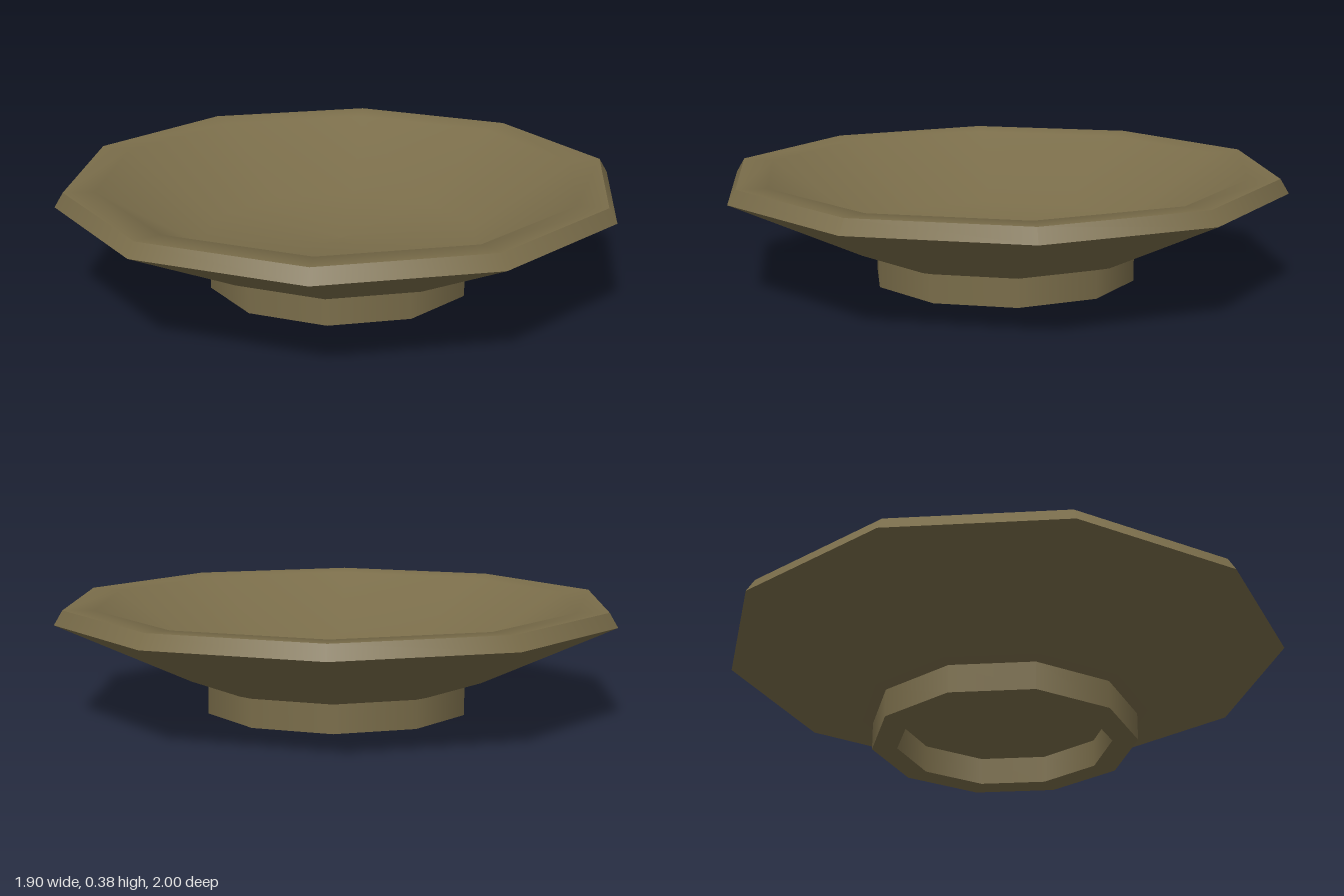
import * as THREE from 'three';

const SIDES = 10;

export function createModel() {
  const model = new THREE.Group();
  model.name = 'footedDish';
  const material = new THREE.MeshStandardMaterial({ color: 0x7a6d4a });

  // Each section is smooth within itself; the seams between sections stay sharp.
  function addPart(name, sections) {
    const part = new THREE.Group();
    part.name = name;
    for (const [label, profile] of Object.entries(sections)) {
      const points = profile.map(([r, y]) => new THREE.Vector2(r, y));
      const mesh = new THREE.Mesh(new THREE.LatheGeometry(points, SIDES), material);
      mesh.name = label;
      part.add(mesh);
    }
    model.add(part);
  }

  // Hollow foot ring, running from the recess out to its outer wall
  addPart('foot', {
    footRecess: [[0, 0.1], [0.38, 0.1]],
    footInnerWall: [[0.38, 0.1], [0.38, 0]],
    footBase: [[0.38, 0], [0.47, 0]],
    footOuterWall: [[0.47, 0], [0.47, 0.1]],
  });

  // Flared bowl with a bevelled rim and a shallow hollow
  addPart('bowl', {
    bowlUnderside: [[0.47, 0.1], [0.53, 0.117], [1, 0.335]],
    bowlRim: [[1, 0.335], [0.97, 0.385]],
    bowlInside: [[0.97, 0.385], [0.86, 0.38], [0.5, 0.165], [0, 0.15]],
  });

  return model;
}
